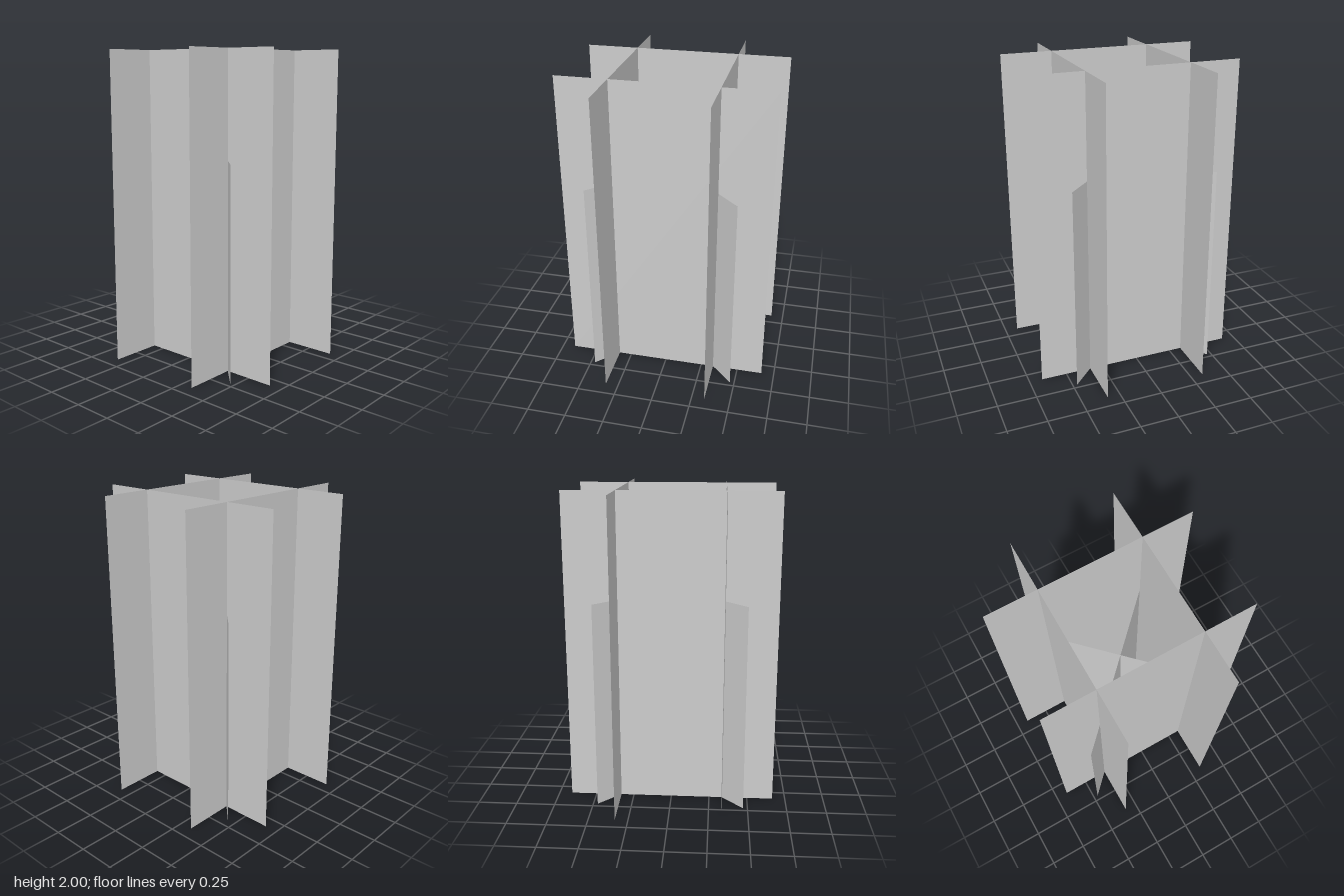
import * as THREE from 'three';

const WIDTH = 4 / 3;    // width of every blade sheet
const TALL = 2;         // height of the outer sheets
const SHORT = 4 / 3;    // height of the inner diagonal sheets
const OFFSET = 1 / 3;   // distance of the outer sheets from the centre

export function createModel() {
  const model = new THREE.Group();
  model.name = 'crossedPlant';
  const material = new THREE.MeshStandardMaterial({
    color: 0xcccccc, side: THREE.DoubleSide, flatShading: true,
  });

  // A thin upright sheet standing on the ground, turned about y, then moved along its normal
  const addSheet = (name, height, angle, offset) => {
    const geometry = new THREE.PlaneGeometry(WIDTH, height);
    geometry.translate(0, height / 2, offset);
    const sheet = new THREE.Mesh(geometry, material);
    sheet.rotation.y = angle;
    sheet.name = name;
    model.add(sheet);
  };

  // Four tall outer sheets, crossing in a hash pattern
  ['frontSheet', 'leftSheet', 'backSheet', 'rightSheet'].forEach((name, i) =>
    addSheet(name, TALL, i * Math.PI / 2, OFFSET));

  // Two shorter sheets crossing diagonally through the centre
  addSheet('diagonalSheetA', SHORT, Math.PI / 4, 0);
  addSheet('diagonalSheetB', SHORT, -Math.PI / 4, 0);

  return model;
}
